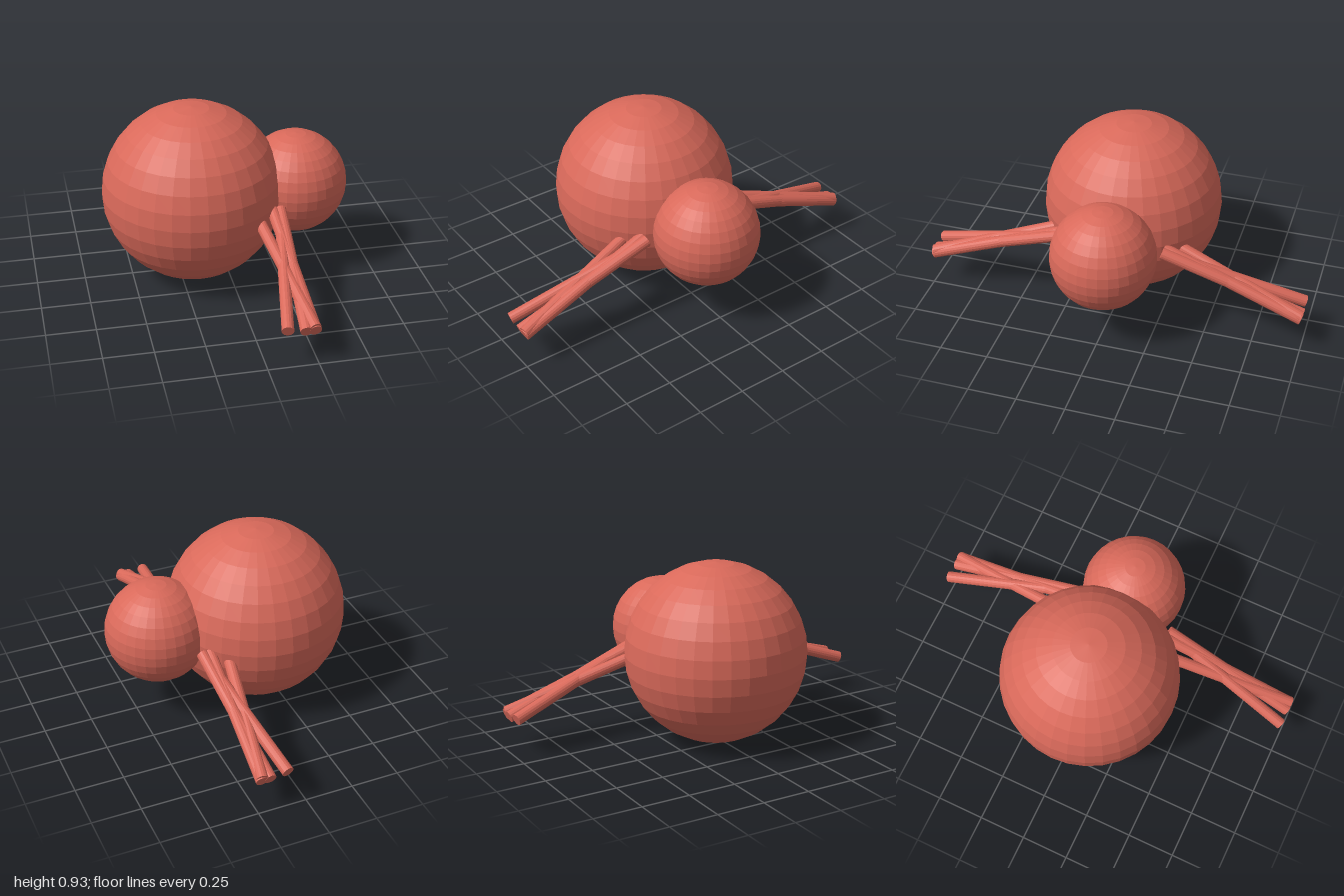
import * as THREE from 'three';

const material = new THREE.MeshStandardMaterial({ color: 0xd9695a, flatShading: true });

function ball(name, radius, x, y) {
  const mesh = new THREE.Mesh(new THREE.SphereGeometry(radius, 32, 16), material);
  mesh.position.set(x, y, 0);
  mesh.name = name;
  return mesh;
}

// Straight rod between two points
function leg(name, from, to) {
  const axis = to.clone().sub(from);
  const mesh = new THREE.Mesh(new THREE.CylinderGeometry(0.03, 0.03, axis.length(), 16), material);
  mesh.position.copy(from).add(to).multiplyScalar(0.5);
  mesh.quaternion.setFromUnitVectors(new THREE.Vector3(0, 1, 0), axis.normalize());
  mesh.name = name;
  return mesh;
}

export function createModel() {
  const model = new THREE.Group();
  model.name = 'spider';

  // Body and head, facing +x
  model.add(ball('abdomen', 0.466, -0.175, 0.469));
  model.add(ball('head', 0.27, 0.37, 0.47));

  // Four crossing legs per side: [inner x, inner y, outer x, outer y]
  const legs = [
    [0.228, 0.44, 0.095, 0.2],
    [0.23, 0.445, 0.185, 0.187],
    [0.19, 0.445, 0.23, 0.187],
    [0.1, 0.435, 0.228, 0.2],
  ];
  for (const side of [1, -1]) {
    const group = new THREE.Group();
    group.name = side > 0 ? 'frontLegs' : 'backLegs';
    legs.forEach(([ix, iy, ox, oy], i) => {
      group.add(leg(`leg${i + 1}`,
        new THREE.Vector3(ix, iy, side * 0.265),
        new THREE.Vector3(ox, oy, side * 0.99)));
    });
    model.add(group);
  }
  return model;
}
